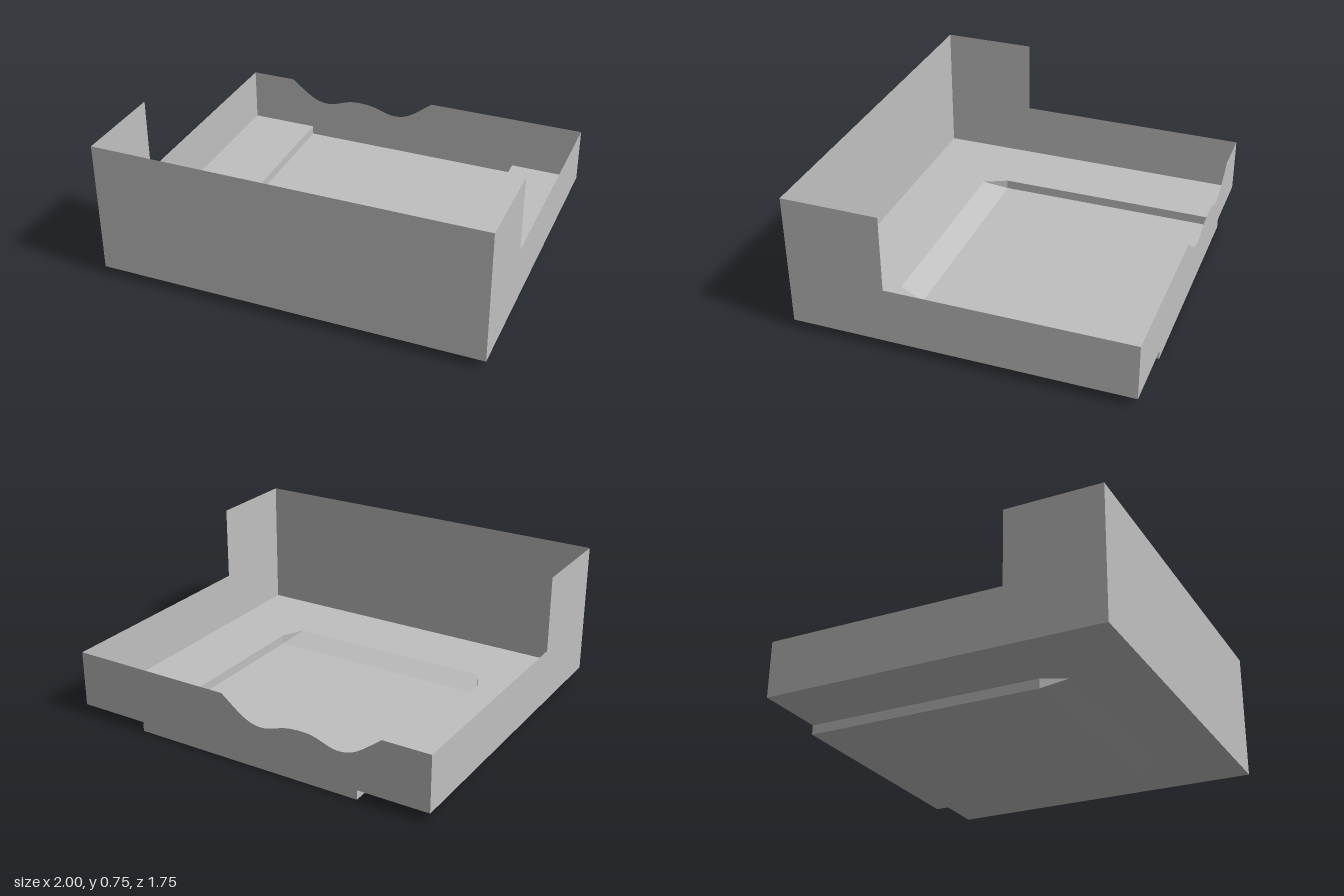
import * as THREE from 'three';

const W = 1, D = 0.875;              // half width and half depth
const BASE = 0.05, LOW = 0.345, HIGH = 0.745;
const SLOT = 0.625, RAMP = 0.565;    // half widths of the recess and its ramp top
const Z0 = 0.375, Z1 = 0.5;          // ramp foot and ramp head

const outline = (pts) => new THREE.Shape(pts.map(([x, y]) => new THREE.Vector2(x, y)));

// Flat panels lying across x, y or z
const acrossZ = (pts, z) => new THREE.ShapeGeometry(outline(pts)).translate(0, 0, z);
const acrossX = (pts, x) => // points are (z, y)
  new THREE.ShapeGeometry(outline(pts.map(([z, y]) => [-z, y]))).rotateY(Math.PI / 2).translate(x, 0, 0);
const acrossY = (pts, y) => // points are (x, z)
  new THREE.ShapeGeometry(outline(pts.map(([x, z]) => [x, -z]))).rotateX(-Math.PI / 2).translate(0, y, 0);

// Free-standing polygon, fanned from its first corner
function polygon(corners) {
  const pos = [];
  for (let i = 1; i < corners.length - 1; i++) pos.push(...corners[0], ...corners[i], ...corners[i + 1]);
  const g = new THREE.BufferGeometry();
  g.setAttribute('position', new THREE.Float32BufferAttribute(pos, 3));
  g.computeVertexNormals();
  return g;
}

export function createModel() {
  const group = new THREE.Group();
  const gray = new THREE.MeshStandardMaterial({ color: 0xc0c0c0, side: THREE.DoubleSide });
  gray.name = 'light gray';
  const add = (name, geometry) => {
    const mesh = new THREE.Mesh(geometry, gray);
    mesh.name = name;
    group.add(mesh);
  };

  // Tall front wall
  add('frontWall', acrossZ([[-W, BASE], [W, BASE], [W, HIGH], [-W, HIGH]], D));

  // Stepped side walls
  for (const [side, s] of [['left', 1], ['right', -1]]) {
    add(side + 'Wall', acrossX(
      [[D, BASE], [-D, BASE], [-D, LOW], [Z0, LOW], [Z0, HIGH], [D, HIGH]], s * W));
  }

  // Back wall with a wavy dip in its top edge and a deeper middle
  const dip = new THREE.CatmullRomCurve3(
    [[0.125, 0], [0, 0.093], [-0.06, 0.117], [-0.125, 0.119], [-0.25, 0.083], [-0.375, 0.081],
      [-0.5, 0.119], [-0.565, 0.117], [-0.625, 0.093], [-0.75, 0]]
      .map(([x, drop]) => new THREE.Vector3(x, LOW - drop, 0)));
  add('backWall', acrossZ([
    [-W, BASE], [-SLOT, BASE], [-SLOT, 0], [SLOT, 0], [SLOT, BASE], [W, BASE], [W, LOW],
    ...dip.getPoints(36).map((p) => [p.x, p.y]), [-W, LOW]], -D));

  // Floor around the recess
  add('floor', acrossY([
    [-W, D], [W, D], [W, -D], [SLOT, -D], [SLOT, Z0], [RAMP, Z1],
    [-RAMP, Z1], [-SLOT, Z0], [-SLOT, -D], [-W, -D]], BASE));

  // Recessed channel with a ramp at its front end
  add('recessFloor', acrossY([[-SLOT, Z0], [SLOT, Z0], [SLOT, -D], [-SLOT, -D]], 0));
  add('recessRamp', polygon([[-SLOT, 0, Z0], [-RAMP, BASE, Z1], [RAMP, BASE, Z1], [SLOT, 0, Z0]]));
  for (const [side, s] of [['left', 1], ['right', -1]]) {
    add(side + 'RecessSide', acrossX([[Z0, 0], [-D, 0], [-D, BASE], [Z0, BASE]], s * SLOT));
    add(side + 'RampCheek', polygon([[s * SLOT, 0, Z0], [s * SLOT, BASE, Z0], [s * RAMP, BASE, Z1]]));
  }
  return group;
}
